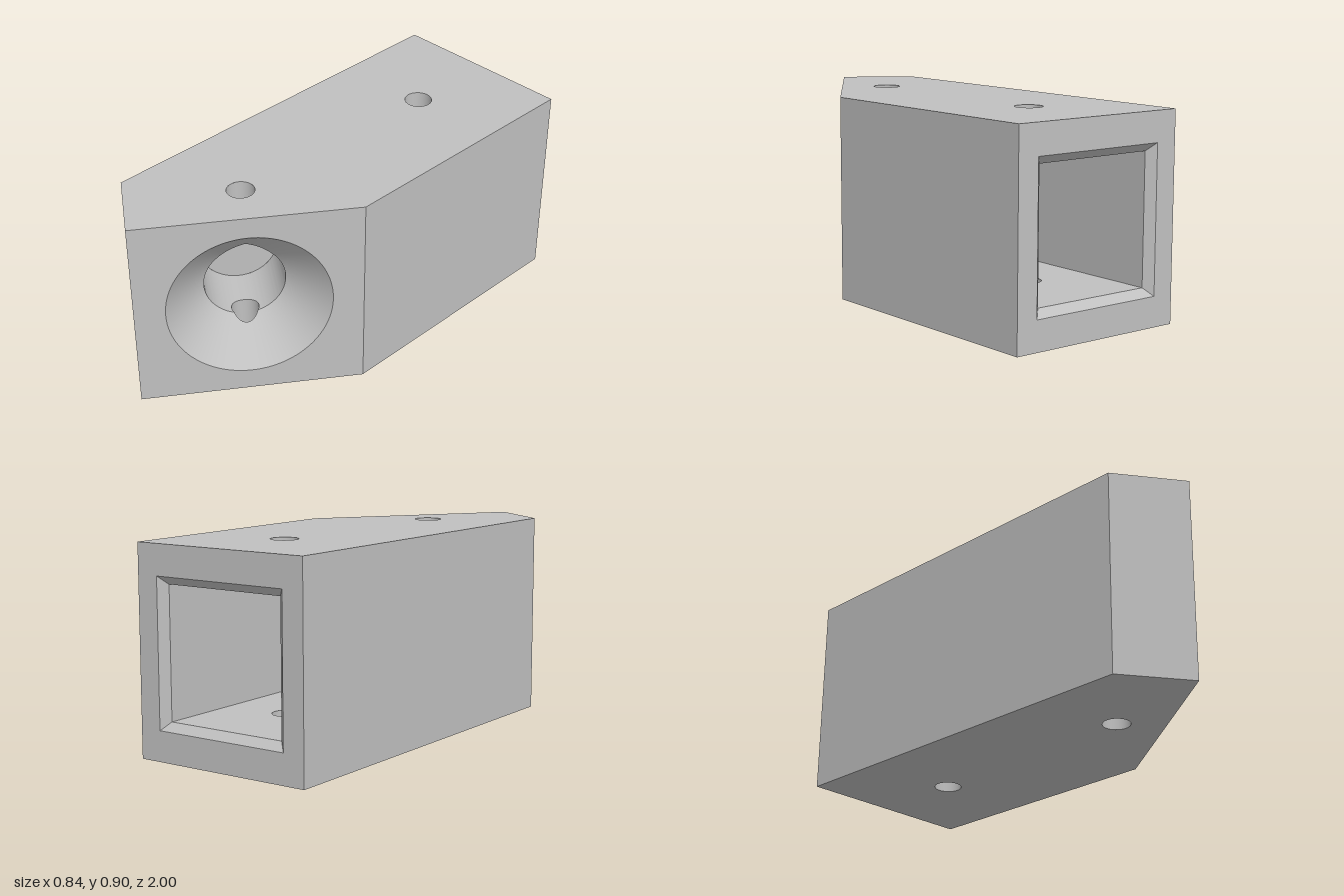
import * as THREE from 'three';
import { toCreasedNormals } from 'three/addons/utils/BufferGeometryUtils.js';

const H = 0.905, CY = H / 2;                       // block height and mid height
const MOUTH = 0.355, BORE = 0.177, DEPTH = 0.445;  // angled bore
const SCREW = 0.06, SCREW_DEPTH = 0.208;           // vertical screw holes
const HALF = 0.285, LEAD = 0.035, CAVITY_END = -0.12; // square socket

const grey = new THREE.MeshStandardMaterial({ color: 0xc0c0c0, side: THREE.DoubleSide });
grey.name = 'grey';

function add(parent, name, geometry) {
  const mesh = new THREE.Mesh(geometry, grey);
  mesh.name = name;
  parent.add(mesh);
  return mesh;
}

const polygon = (pts) => new THREE.Shape(pts.map(([x, y]) => new THREE.Vector2(x, y)));
const rect = (w, h) => polygon([[-w / 2, -h / 2], [w / 2, -h / 2], [w / 2, h / 2], [-w / 2, h / 2]]);
const circle = (x, y, r) => new THREE.Path().absarc(x, y, r, 0, Math.PI * 2);

// Upright panel standing on the plan line a-b
function wall(parent, name, a, b, height, hole) {
  const dx = b[0] - a[0], dz = b[1] - a[1];
  const shape = rect(Math.hypot(dx, dz), height);
  if (hole) shape.holes.push(hole);
  const mesh = add(parent, name, new THREE.ShapeGeometry(shape, 72));
  mesh.position.set((a[0] + b[0]) / 2, CY, (a[1] + b[1]) / 2);
  mesh.rotation.y = Math.atan2(-dz, dx);
}

// Level panel with round holes, facing up or down
function level(parent, name, plan, holes, y, up) {
  const f = up ? -1 : 1;
  const shape = polygon(plan.map(([x, z]) => [x, f * z]));
  holes.forEach(([x, z]) => shape.holes.push(circle(x, f * z, SCREW)));
  add(parent, name, new THREE.ShapeGeometry(shape, 24).rotateX(f * Math.PI / 2)).position.y = y;
}

// Vertical screw hole whose ends follow the surfaces it meets
function screwHole(parent, name, x, z, bottom, top) {
  const g = new THREE.CylinderGeometry(SCREW, SCREW, 1, 48, 1, true);
  const p = g.attributes.position;
  for (let i = 0; i < p.count; i++) {
    p.setY(i, (p.getY(i) > 0 ? top : bottom)(p.getX(i), p.getZ(i) + z));
  }
  add(parent, name, g).position.set(x, 0, z);
}

// Teardrop radius at an angle measured from straight up
function tear(phi) {
  const a = Math.abs(phi);
  return a < Math.PI / 4 ? BORE / Math.cos(a - Math.PI / 4) : BORE;
}
const roofY = (s) => CY + BORE * Math.SQRT2 - Math.abs(s);
const floorY = (s, z) => CY - Math.sqrt(Math.max(BORE, MOUTH + z) ** 2 - s * s);

// Bore surface between two depths, opened where the screw hole crosses it
function boreSurface(rows, from, to, radius) {
  const cols = 144, pos = [], index = [], cut = [];
  for (let j = 0; j <= rows; j++) {
    for (let i = 0; i <= cols; i++) {
      const phi = (i / cols * 2 - 1) * Math.PI;
      const d = THREE.MathUtils.lerp(from(phi), to(phi), j / rows);
      const r = radius(phi, d);
      let x = r * Math.sin(phi), y = CY + r * Math.cos(phi), z = -d;
      const dist = Math.hypot(x, z + SCREW_DEPTH);
      const inside = dist < SCREW;
      if (inside) {
        const k = SCREW / Math.max(dist, 1e-6);
        x *= k;
        z = -SCREW_DEPTH + (z + SCREW_DEPTH) * k;
        y = y > CY ? roofY(x) : floorY(x, z);
      }
      cut.push(inside);
      pos.push(x, y, z);
    }
  }
  const tri = (a, b, c) => { if (!(cut[a] && cut[b] && cut[c])) index.push(a, b, c); };
  for (let j = 0; j < rows; j++) {
    for (let i = 0; i < cols; i++) {
      const a = j * (cols + 1) + i, b = a + 1, c = a + cols + 1, d = c + 1;
      tri(a, b, c);
      tri(b, d, c);
    }
  }
  const g = new THREE.BufferGeometry();
  g.setAttribute('position', new THREE.Float32BufferAttribute(pos, 3));
  g.setIndex(index);
  return toCreasedNormals(g, 0.6);
}

export function createModel() {
  const model = new THREE.Group();
  model.name = 'angledBracket';

  // Outer shell
  const plan = [[-0.42, 0.8], [-0.14, 1], [0.42, 0.2], [0.42, -1], [-0.42, -1]];
  const rear = [0, -0.57];
  const slant = Math.atan2(0.8, 0.56);
  const front = [0.14 - SCREW_DEPTH * Math.sin(slant), 0.6 - SCREW_DEPTH * Math.cos(slant)];
  level(model, 'topFace', plan, [rear, front], H, true);
  level(model, 'bottomFace', plan, [rear, front], 0, false);
  const mouthSize = 2 * (HALF + LEAD);
  const names = ['noseFace', 'slantedFace', 'leftFace', 'backFace', 'rightFace'];
  const holes = [null, circle(0, 0, MOUTH), null, rect(mouthSize, mouthSize), null];
  names.forEach((n, i) => wall(model, n, plan[i], plan[(i + 1) % 5], H, holes[i]));

  // Square socket with a chamfered mouth
  const socket = new THREE.Group();
  socket.name = 'socket';
  model.add(socket);
  const z0 = -1 + LEAD;
  const chamfer = new THREE.CylinderGeometry(HALF * Math.SQRT2, (HALF + LEAD) * Math.SQRT2, LEAD, 4, 1, true)
    .rotateY(Math.PI / 4).rotateX(Math.PI / 2).toNonIndexed();
  chamfer.computeVertexNormals();
  add(socket, 'socketChamfer', chamfer).position.set(0, CY, -1 + LEAD / 2);
  const inner = [[-HALF, z0], [-HALF, CAVITY_END], [HALF, CAVITY_END], [HALF, z0]];
  level(socket, 'socketFloor', inner, [rear], CY - HALF, true);
  level(socket, 'socketCeiling', inner, [rear], CY + HALF, false);
  ['socketRightWall', 'socketEndWall', 'socketLeftWall'].forEach((n, i) =>
    wall(socket, n, inner[i + 1], inner[i], 2 * HALF));
  screwHole(socket, 'rearScrewHoleTop', ...rear, () => CY + HALF, () => H);
  screwHole(socket, 'rearScrewHoleBottom', ...rear, () => 0, () => CY - HALF);

  // Countersunk teardrop bore, local +z points out of the slanted face
  const bore = new THREE.Group();
  bore.name = 'bore';
  bore.position.set(0.14, 0, 0.6);
  bore.rotation.y = slant;
  model.add(bore);
  const seam = (phi) => MOUTH - tear(phi);
  add(bore, 'countersink', boreSurface(40, () => 0, seam, (phi, d) => MOUTH - d));
  add(bore, 'boreWall', boreSurface(48, seam, () => DEPTH, tear));
  const ring = Array.from({ length: 72 }, (_, i) => {
    const phi = (i / 36 - 1) * Math.PI;
    return [tear(phi) * Math.sin(phi), tear(phi) * Math.cos(phi)];
  });
  add(bore, 'boreEnd', new THREE.ShapeGeometry(polygon(ring))).position.set(0, CY, -DEPTH);
  screwHole(bore, 'frontScrewHoleTop', 0, -SCREW_DEPTH, roofY, () => H);
  screwHole(bore, 'frontScrewHoleBottom', 0, -SCREW_DEPTH, () => 0, floorY);

  return model;
}
